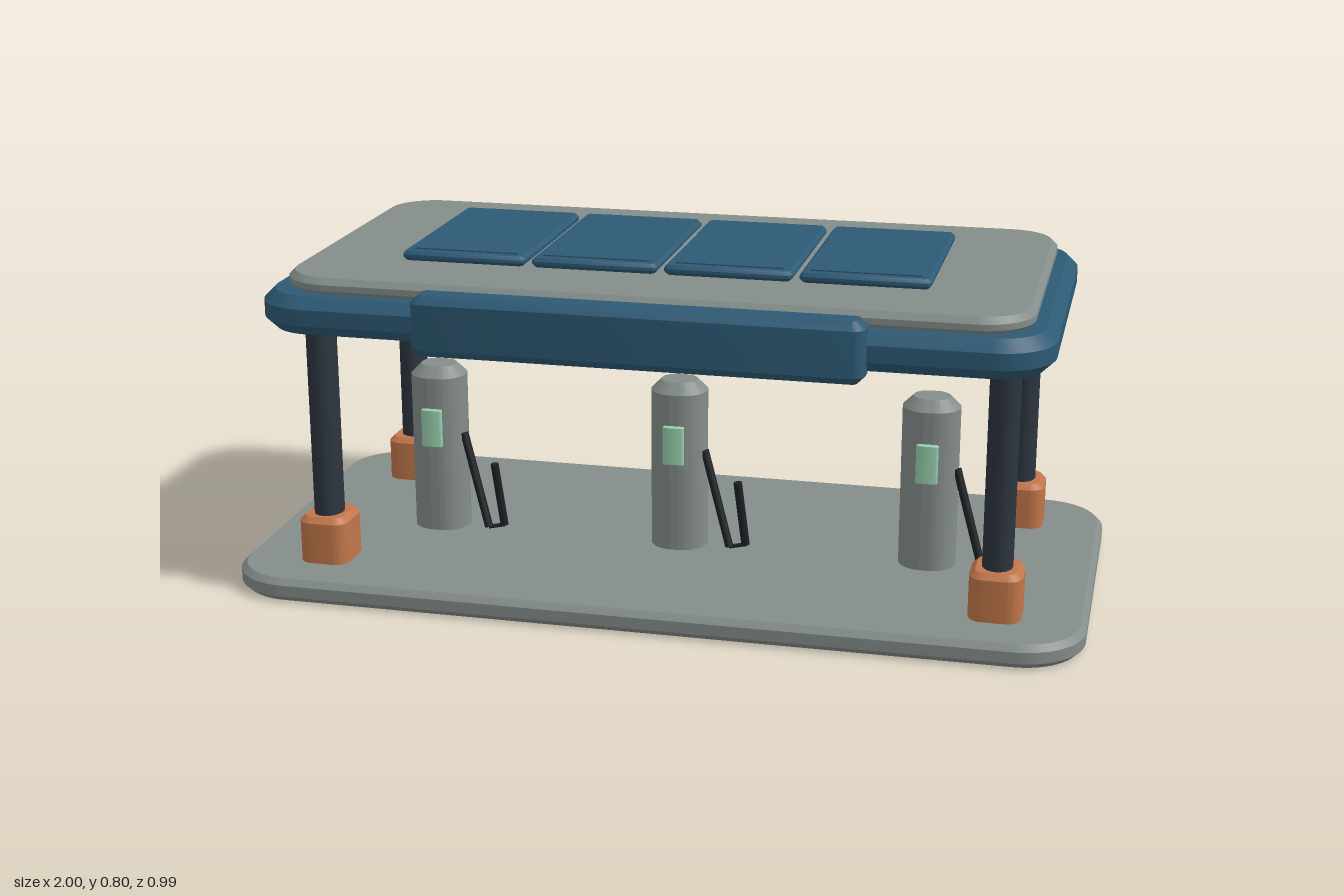
import * as THREE from 'three';
import { toCreasedNormals } from 'three/addons/utils/BufferGeometryUtils.js';

const mat = (name, color) => new THREE.MeshStandardMaterial({ name, color });

// Rounded-rectangle slab lying flat, with chamfered top and bottom edges.
// w, d and the y range are the outer sizes.
function slab(w, d, y0, y1, radius, bevel) {
  const x = w / 2 - bevel, z = d / 2 - bevel, r = Math.max(radius - bevel, 0.004);
  const s = new THREE.Shape();
  s.moveTo(-x + r, -z);
  s.absarc(x - r, -z + r, r, -Math.PI / 2, 0);
  s.absarc(x - r, z - r, r, 0, Math.PI / 2);
  s.absarc(-x + r, z - r, r, Math.PI / 2, Math.PI);
  s.absarc(-x + r, -z + r, r, Math.PI, Math.PI * 1.5);
  s.closePath();
  const g = new THREE.ExtrudeGeometry(s, {
    depth: y1 - y0 - 2 * bevel, bevelEnabled: true, bevelSegments: 1,
    bevelSize: bevel, bevelThickness: bevel, curveSegments: 8,
  });
  g.rotateX(-Math.PI / 2);
  g.translate(0, y0 + bevel, 0);
  return toCreasedNormals(g, 0.6);
}

export function createModel() {
  const model = new THREE.Group();
  model.name = 'chargingStation';

  const grey = mat('concreteGrey', 0x848d89);
  const blue = mat('canopyBlue', 0x2d5a75);
  const dark = mat('postCharcoal', 0x2d353f);
  const orange = mat('bootOrange', 0xc1764a);
  const green = mat('screenGreen', 0x98d0ae);
  const black = mat('cableBlack', 0x1d2126);

  const add = (name, geometry, material, x = 0, y = 0, z = 0, parent = model) => {
    const m = new THREE.Mesh(geometry, material);
    m.name = name;
    m.position.set(x, y, z);
    parent.add(m);
    return m;
  };

  // Ground plate, canopy, roof and front sign board
  add('basePlate', slab(2, 0.974, 0, 0.055, 0.15, 0.014), grey, 0, 0, -0.005);
  add('canopy', slab(1.81, 0.93, 0.643, 0.733, 0.13, 0.026), blue, 0, 0, -0.004);
  add('roof', slab(1.71, 0.868, 0.728, 0.77, 0.12, 0.014), grey, 0, 0, -0.016);
  add('signBoard', slab(1.02, 0.084, 0.622, 0.762, 0.03, 0.018), blue, 0, 0, 0.451);

  // Light strip under the canopy
  add('lightStrip', new THREE.BoxGeometry(1.26, 0.008, 0.022), green, 0, 0.635, 0.238);

  // Solar panels, each with a thin front rib
  const panelGeo = slab(0.297, 0.487, 0.774, 0.797, 0.018, 0.008);
  const ribGeo = new THREE.BoxGeometry(0.25, 0.006, 0.006);
  for (let i = 0; i < 4; i++) {
    const x = (i - 1.5) * 0.312;
    add('solarPanel', panelGeo, blue, x, 0, -0.018);
    add('panelRib', ribGeo, blue, x, 0.797, 0.195);
  }

  // Corner posts standing in orange boots
  const postGeo = new THREE.CylinderGeometry(1, 1, 0.52, 20);
  postGeo.scale(0.035, 1, 0.043);
  const bootGeo = slab(0.12, 0.133, 0.03, 0.168, 0.035, 0.013);
  for (const x of [-0.795, 0.795]) {
    for (const z of [0.297, -0.321]) {
      add('post', postGeo, dark, x, 0.4, z);
      add('postBoot', bootGeo, orange, x, 0, z);
    }
  }

  // Charging pillars with a screen and a hanging cable
  const pillarGeo = slab(0.136, 0.124, 0.03, 0.47, 0.06, 0.025);
  const screenGeo = slab(0.052, 0.014, 0.274, 0.369, 0.004, 0.002);
  const cablePoints = [
    [0.066, 0.3, 0.04], [0.135, 0.072, 0.075], [0.174, 0.08, 0.072], [0.156, 0.24, 0.084],
  ].map((p) => new THREE.Vector3(...p));
  const cableRadii = [0.0105, 0.005, 0.0105];
  for (const x of [-0.605, 0, 0.605]) {
    const charger = new THREE.Group();
    charger.name = 'charger';
    charger.position.x = x;
    model.add(charger);
    add('pillar', pillarGeo, grey, 0, 0, 0.021, charger);
    add('screen', screenGeo, green, 0, 0, 0.088, charger);
    cableRadii.forEach((r, i) => {
      const [a, b] = [cablePoints[i], cablePoints[i + 1]];
      const dir = b.clone().sub(a);
      const seg = add('cable', new THREE.CylinderGeometry(r, r, dir.length(), 8), black, 0, 0, 0, charger);
      seg.position.copy(a).add(b).multiplyScalar(0.5);
      seg.quaternion.setFromUnitVectors(new THREE.Vector3(0, 1, 0), dir.normalize());
    });
  }
  return model;
}
